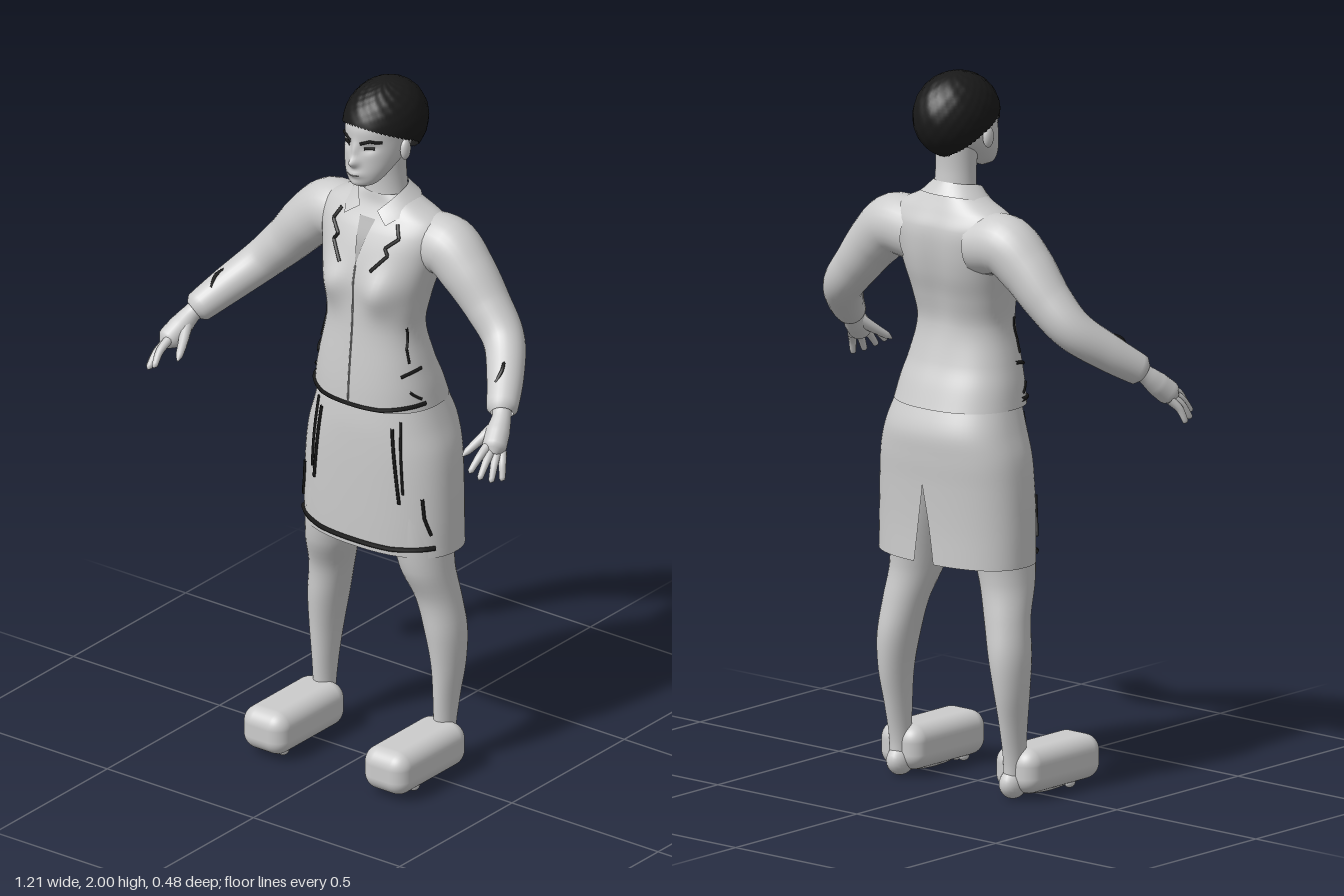
import * as THREE from 'three';
import { mergeVertices } from 'three/addons/utils/BufferGeometryUtils.js';
import { RoundedBoxGeometry } from 'three/addons/geometries/RoundedBoxGeometry.js';

const V = (x, y, z) => new THREE.Vector3(x, y, z);
const mat = (name, color, side) => Object.assign(new THREE.MeshStandardMaterial({ color }), { name, side });
const gauss = (a, w) => Math.exp(-(a / w) * (a / w));

function smooth(geo) {
  geo.deleteAttribute('normal');
  geo.deleteAttribute('uv');
  const g = mergeVertices(geo, 1e-5);
  g.computeVertexNormals();
  return g;
}

// Smooth interpolation of section rows [y, centreX, halfWidth, zFront, zBack]
function section(rows, y) {
  let i = 0;
  while (i < rows.length - 2 && y > rows[i + 1][0]) i++;
  const slope = (j, k) => {
    const a = rows[Math.max(j - 1, 0)], b = rows[Math.min(j + 1, rows.length - 1)];
    return (b[k] - a[k]) / (b[0] - a[0]);
  };
  const p = rows[i], q = rows[i + 1], h = q[0] - p[0], t = (y - p[0]) / h, t2 = t * t, t3 = t2 * t;
  return [1, 2, 3, 4].map(k => (2 * t3 - 3 * t2 + 1) * p[k] + (t3 - 2 * t2 + t) * h * slope(i, k)
    + (3 * t2 - 2 * t3) * q[k] + (t3 - t2) * h * slope(i + 1, k));
}

// Point on a body shape; angle 0 faces the front
function surface(shape, angle, y) {
  const [cx, hx, zf, zb] = section(shape.rows, y), e = shape.power ?? 1;
  const pw = a => Math.sign(a) * Math.abs(a) ** e;
  const v = V(cx + hx * pw(Math.sin(angle)), y, (zf + zb) / 2 + (zf - zb) / 2 * pw(Math.cos(angle)));
  if (shape.adjust) shape.adjust(v, Math.cos(angle));
  return v;
}

// Shape from stacked sections, optionally split at the back by gap(y)
function loft(shape, n = 48, steps = 5) {
  const { rows, gap } = shape, pos = [], idx = [], count = (rows.length - 1) * steps;
  for (let j = 0; j <= count; j++) {
    const i = Math.min(Math.floor(j / steps), rows.length - 2);
    const y = THREE.MathUtils.lerp(rows[i][0], rows[i + 1][0], j / steps - i), g = gap ? gap(y) : 0;
    for (let k = 0; k <= n; k++) pos.push(...surface(shape, -Math.PI + g + k / n * 2 * (Math.PI - g), y).toArray());
  }
  for (let j = 0; j < count; j++) for (let k = 0; k < n; k++) {
    const a = j * (n + 1) + k, c = a + n + 1;
    idx.push(a, a + 1, c + 1, a, c + 1, c);
  }
  const geo = new THREE.BufferGeometry();
  geo.setAttribute('position', new THREE.Float32BufferAttribute(pos, 3));
  geo.setIndex(idx);
  return smooth(geo);
}

// Tube whose radius changes along a list of [x, y, z, radius]
function limb(list, n = 24, sides = 20) {
  const curve = new THREE.CatmullRomCurve3(list.map(p => V(p[0], p[1], p[2])));
  const geo = new THREE.TubeGeometry(curve, n, 1, sides), pos = geo.attributes.position, v = V(0, 0, 0);
  for (let i = 0; i < pos.count; i++) {
    const u = Math.floor(i / (sides + 1)) / n, t = curve.getUtoTmapping(u) * (list.length - 1);
    const k = Math.min(Math.floor(t), list.length - 2), c = curve.getPointAt(u);
    v.fromBufferAttribute(pos, i).sub(c).multiplyScalar(THREE.MathUtils.lerp(list[k][3], list[k + 1][3], t - k)).add(c);
    pos.setXYZ(i, v.x, v.y, v.z);
  }
  return smooth(geo);
}

// Thin sheet between two edges
function ribbon(a, b, n = 32) {
  const ca = new THREE.CatmullRomCurve3(a), cb = new THREE.CatmullRomCurve3(b);
  const geo = new THREE.PlaneGeometry(1, 1, n, 4), pos = geo.attributes.position;
  for (let i = 0; i < pos.count; i++) {
    const p = ca.getPoint(pos.getX(i) + 0.5).lerp(cb.getPoint(pos.getX(i) + 0.5), 0.5 - pos.getY(i));
    pos.setXYZ(i, p.x, p.y, p.z);
  }
  return smooth(geo);
}

// Front point of a shape at x, y
function onFront(shape, x, y, lift = 0.002) {
  const [cx, hx] = section(shape.rows, y), s = THREE.MathUtils.clamp((x - cx) / hx, -0.995, 0.995);
  const v = surface(shape, Math.sign(s) * Math.asin(Math.abs(s) ** (1 / (shape.power ?? 1))), y);
  v.z += lift;
  return v;
}

// Thin line following straight runs between [x, y] points on a shape
function seam(shape, pts, r = 0.005) {
  const path = new THREE.CurvePath(), all = [];
  pts.slice(1).forEach((q, i) => {
    for (let k = 0; k < 8; k++) all.push(onFront(shape, THREE.MathUtils.lerp(pts[i][0], q[0], k / 8), THREE.MathUtils.lerp(pts[i][1], q[1], k / 8)));
  });
  all.push(onFront(shape, ...pts[pts.length - 1]));
  for (let i = 1; i < all.length; i++) path.add(new THREE.LineCurve3(all[i - 1], all[i]));
  return new THREE.TubeGeometry(path, all.length * 2, r, 5);
}

export function createModel() {
  const model = new THREE.Group();
  const grey = mat('light grey', 0xcccccc, THREE.DoubleSide);
  const midGrey = mat('mid grey', 0xa6a6a6, THREE.DoubleSide);
  const black = mat('black', 0x191919, THREE.DoubleSide);
  const add = (name, geo, m = grey) => {
    const mesh = new THREE.Mesh(geo, m);
    mesh.name = name;
    model.add(mesh);
    return mesh;
  };
  const ball = (name, r, p, m) => add(name, new THREE.SphereGeometry(1, 20, 14).scale(...r).translate(...p), m);

  // Jacket and skirt
  const jacket = {
    power: 0.88,
    rows: [[1.08, 0, .19, .078, -.222], [1.14, 0, .18, .075, -.2], [1.2, 0, .165, .07, -.175], [1.3, 0, .142, .06, -.155],
      [1.38, 0, .152, .055, -.17], [1.45, 0, .168, .052, -.19], [1.52, 0, .185, .035, -.2], [1.58, 0, .197, .01, -.198],
      [1.62, 0, .18, -.015, -.18], [1.65, 0, .12, -.03, -.165], [1.68, 0, .065, -.035, -.15]],
    adjust(v, c) {
      if (c > 0) v.z += 0.03 * c * gauss(Math.abs(v.x) - 0.085, 0.05) * gauss(v.y - 1.42, 0.06);
      else v.z -= 0.014 * c * gauss(v.x, 0.04) * gauss(v.y - 1.42, 0.17);
    },
  };
  const skirt = {
    power: 0.85,
    rows: [[.65, 0, .243, .055, -.225], [.75, 0, .242, .058, -.225], [.87, 0, .236, .06, -.23], [.95, 0, .226, .06, -.236],
      [1.02, 0, .205, .058, -.236], [1.1, 0, .18, .05, -.205]],
    gap: y => 0.1 * Math.max(0, 1 - (y - 0.65) / 0.21),
  };
  add('jacket', loft(jacket, 64));
  add('skirt', loft(skirt, 64));
  add('shirtOpening', ribbon([onFront(jacket, -.026, 1.615, .004), onFront(jacket, -.013, 1.555, .004), onFront(jacket, 0, 1.49, .004)],
    [onFront(jacket, .026, 1.615, .004), onFront(jacket, .013, 1.555, .004), onFront(jacket, 0, 1.49, .004)]), midGrey);
  add('frontClosure', seam(jacket, [[0, 1.49], [0, 1.3], [0, 1.09]], .0025), midGrey);
  const around = half => [...half, ...half.slice(0, -1).reverse().map(p => [-p[0], p[1], p[2]])].map(p => V(...p));
  add('collar', ribbon(around([[.03, 1.64, -.012], [.066, 1.685, -.06], [.055, 1.697, -.12], [0, 1.702, -.148]]),
    around([[.07, 1.612, .005], [.108, 1.647, -.07], [.08, 1.664, -.145], [0, 1.668, -.17]])));
  add('jacketHemLine', seam(jacket, [[-.183, 1.1], [-.1, 1.088], [.1, 1.088], [.183, 1.1]], .006), black);
  add('skirtHemLine', seam(skirt, [[-.225, .68], [-.12, .67], [.12, .67], [.225, .68]], .007), black);

  // Neck and head
  const head = {
    rows: [[1.722, 0, .012, .028, .005], [1.735, 0, .04, .045, -.03], [1.765, 0, .062, .052, -.08], [1.81, 0, .08, .05, -.15],
      [1.86, 0, .086, .046, -.18], [1.9, 0, .086, .044, -.19], [1.94, 0, .072, .022, -.18], [1.975, 0, .03, -.04, -.13]],
    adjust(v, c) {
      if (c <= 0) return;
      const ax = Math.abs(v.x);
      v.z += .022 * gauss(ax, .014) * gauss(v.y - 1.803, .014) + .009 * gauss(ax, .01) * gauss(v.y - 1.835, .025)
        + .009 * gauss(ax, .024) * gauss(v.y - 1.768, .011) - .009 * gauss(ax - .037, .018) * gauss(v.y - 1.845, .012)
        + .006 * gauss(ax, .02) * gauss(v.y - 1.738, .012);
    },
  };
  add('head', loft(head, 96, 8));
  add('neck', loft({ rows: [[1.58, 0, .075, -.03, -.15], [1.68, 0, .06, -.038, -.148], [1.74, 0, .057, -.035, -.145], [1.82, 0, .06, -.02, -.15]] }));
  add('mouthLine', seam(head, [[-.02, 1.767], [.02, 1.767]], .0015), midGrey);

  // Cropped hair with a hairline dropping from brow to nape
  const hair = new THREE.SphereGeometry(1, 64, 40), hp = hair.attributes.position;
  for (let i = 0; i < hp.count; i++) {
    const u = (i % 65) / 64 * Math.PI * 2, w = Math.floor(i / 65) / 40, f = Math.cos(u);
    const polar = w * THREE.MathUtils.degToRad(f > 0 ? 110 - 32 * f : 110 - 45 * f);
    const r = 1 + 0.012 * Math.sin(u * 15 + w * 9) * Math.sin(w * 33) * Math.sin(w * Math.PI);
    hp.setXYZ(i, .106 * r * Math.sin(polar) * Math.sin(u), 1.88 + .12 * r * Math.cos(polar),
      -.092 + (f > 0 ? .14 : .13) * r * Math.sin(polar) * f);
  }
  add('hair', smooth(hair), black);

  for (const s of [1, -1]) {
    const side = s > 0 ? 'left' : 'right';
    const flip = list => list.map(p => [p[0] * s, ...p.slice(1)]);
    const line = (name, shape, pts, r) => add(side + name, seam(shape, flip(pts), r), black);

    // Face details
    ball(side + 'Ear', [.012, .03, .018], [s * .09, 1.825, -.06]);
    line('Brow', head, [[.016, 1.86], [.04, 1.869], [.064, 1.863]], .0045);
    line('Eye', head, [[.024, 1.845], [.05, 1.846]], .004);

    // Sleeve, wrist and hand
    add(side + 'Sleeve', limb(flip([[.11, 1.54, -.11, .085], [.2, 1.546, -.11, .085], [.27, 1.492, -.105, .077], [.34, 1.415, -.1, .066],
      [.41, 1.342, -.08, .058], [.475, 1.272, -.003, .051], [.522, 1.217, .073, .042], [.526, 1.212, .079, .03]]), 48, 28));
    add(side + 'Palm', limb(flip([[.505, 1.235, .05, .028], [.53, 1.205, .085, .026], [.543, 1.175, .118, .033],
      [.556, 1.145, .152, .034], [.563, 1.13, .168, .014]])));
    const tips = [[.54, 1.1, .238], [.566, 1.084, .23], [.586, 1.072, .205], [.598, 1.068, .172]];
    tips.forEach(([x, y, z], i) => {
      const b = [.545 + i * .009, 1.152 - i * .007, .17 - i * .011];
      add(side + 'Finger' + (i + 1), limb(flip([[...b, .013], [(b[0] + x) / 2 + .003, (b[1] + y) / 2 + .006, (b[2] + z) / 2 + .003, .011],
        [x, y, z, .008], [x, y - .003, z + .004, .001]]), 14, 10));
    });
    add(side + 'Thumb', limb(flip([[.528, 1.185, .11, .018], [.508, 1.155, .15, .014], [.492, 1.128, .19, .01], [.487, 1.118, .204, .002]]), 14, 10));
    add(side + 'CuffLine', limb(flip([[.474, 1.326, -.002, .005], [.489, 1.311, .03, .005], [.487, 1.283, .055, .005]]), 12, 6), black);

    // Jacket and skirt lines
    line('LapelLine', jacket, [[.095, 1.615], [.112, 1.582], [.08, 1.553], [.092, 1.535], [.052, 1.487]]);
    line('WaistLine', jacket, [[.135, 1.32], [.14, 1.26], [.15, 1.22]], .004);
    line('PocketLine', jacket, [[.165, 1.2], [.14, 1.185]], .005);
    line('HipLine', jacket, [[.16, 1.14], [.178, 1.115]], .004);
    line('SkirtDart', skirt, [[.12, 1.03], [.135, .9], [.145, .81]], .005);
    line('SkirtPocket', skirt, [[.14, 1.05], [.15, .92], [.155, .84]], .004);
    line('SkirtSideLine', skirt, [[.2, .83], [.205, .77], [.218, .72]], .005);

    // Leg, foot and block shoe
    add(side + 'Leg', loft({ rows: [[.03, .203, .028, -.05, -.118], [.1, .205, .028, -.05, -.118], [.2, .207, .032, -.045, -.136], [.3, .208, .042, -.04, -.156],
      [.4, .2, .054, -.03, -.164], [.5, .182, .062, -.02, -.154], [.6, .161, .073, .018, -.145], [.75, .138, .087, .035, -.165],
      [.92, .11, .1, .035, -.18]].map(r => [r[0], r[1] * s, ...r.slice(2)]) }, 32));
    ball(side + 'Heel', [.034, .042, .046], [s * .203, .042, -.086]);
    ball(side + 'Sole', [.045, .018, .11], [s * .207, .02, .03]);
    for (let i = 0; i < 5; i++) ball(side + 'Toe' + (i + 1), [.012, .013, .018], [s * (.172 + i * .018), .015, .14 - i * .01]);
    add(side + 'Shoe', new RoundedBoxGeometry(.148, .125, .31, 5, .045)).position.set(s * .207, .0775, .051);
  }
  return model;
}
